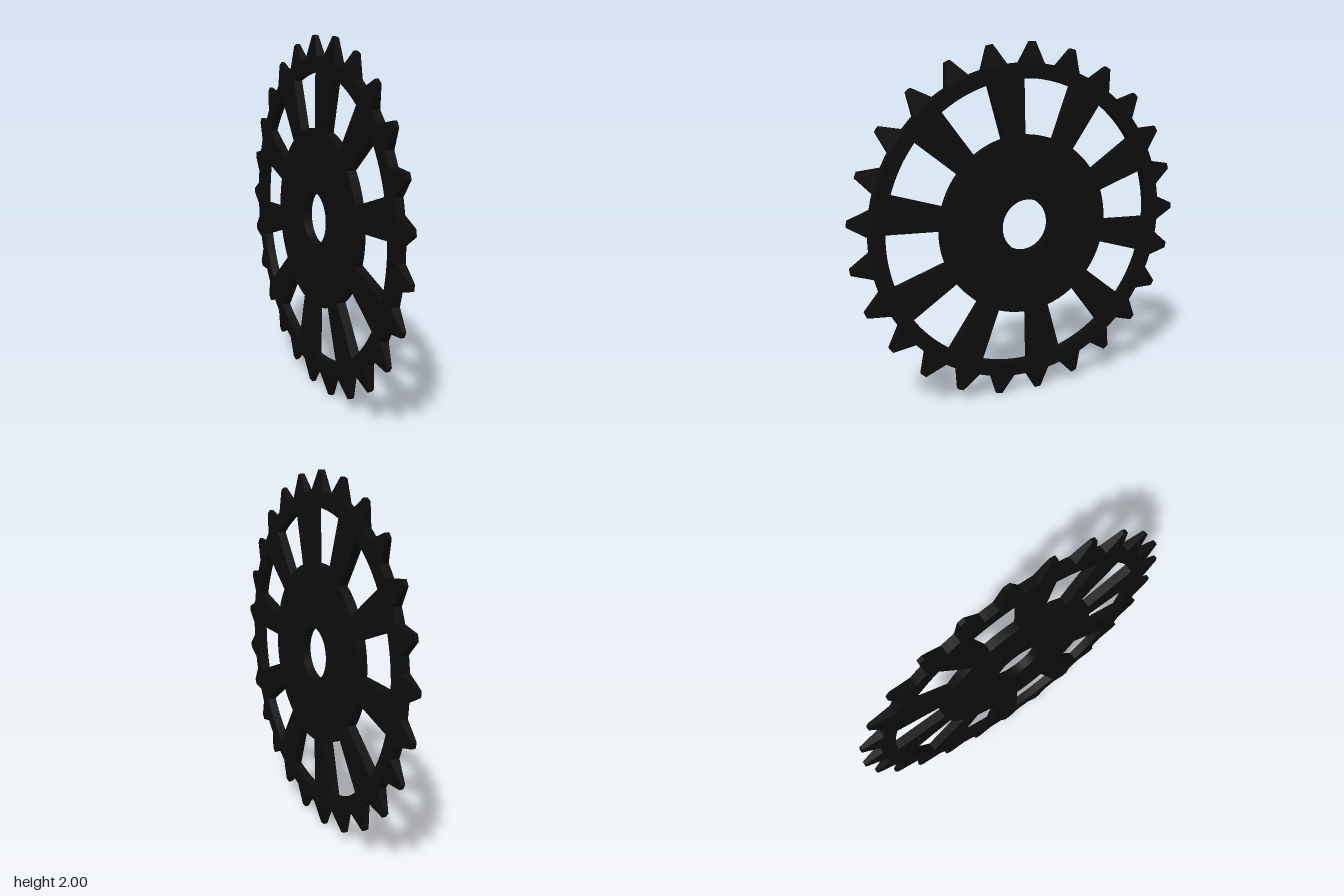
import * as THREE from 'three';

const T = 0.052;            // plate thickness
const ROOT = 0.888;         // rim radius at the tooth roots
const TIP = 1.0;            // tooth tip radius
const TEETH = 25, SLOTS = 10;
const rad = THREE.MathUtils.degToRad;

// Flat plate with a centre bore and radial windows between the spokes
function plateGeometry() {
  const shape = new THREE.Shape();
  shape.absarc(0, 0, ROOT, 0, Math.PI * 2, false);
  const bore = new THREE.Path();
  bore.absarc(0, 0, 0.148, 0, Math.PI * 2, true);
  shape.holes.push(bore);
  for (let i = 0; i < SLOTS; i++) {
    const mid = rad(80.3 + i * 360 / SLOTS), half = rad(10.7);
    const slot = new THREE.Path();
    slot.absarc(0, 0, 0.806, mid - half, mid + half, false);
    slot.absarc(0, 0, 0.503, mid + half, mid - half, true);
    slot.closePath();
    shape.holes.push(slot);
  }
  const geo = new THREE.ExtrudeGeometry(shape, { depth: T, bevelEnabled: false, curveSegments: 50 });
  return geo.translate(0, 0, -T / 2);
}

// Tooth pointing along +x, narrowing in width and thickness towards its tip
function toothGeometry() {
  const base = 0.884;
  const geo = new THREE.BoxGeometry(TIP - base, 0.142, T);
  geo.translate((TIP + base) / 2, 0, 0);
  const p = geo.attributes.position;
  for (let i = 0; i < p.count; i++) {
    if (p.getX(i) > 0.95) {
      p.setY(i, p.getY(i) * 0.24);
      p.setZ(i, p.getZ(i) * 0.42);
    }
  }
  geo.computeVertexNormals();
  return geo;
}

export function createModel() {
  const material = new THREE.MeshStandardMaterial({ color: 0x0d0d0d });
  const wheel = new THREE.Group();
  wheel.name = 'sprocket';

  const plate = new THREE.Mesh(plateGeometry(), material);
  plate.name = 'spokedPlate';
  wheel.add(plate);

  // Ring of teeth
  const teeth = new THREE.Group();
  teeth.name = 'teeth';
  const toothGeo = toothGeometry();
  for (let i = 0; i < TEETH; i++) {
    const tooth = new THREE.Mesh(toothGeo, material);
    tooth.name = 'tooth';
    tooth.rotation.z = rad(87.5 + i * 360 / TEETH);
    teeth.add(tooth);
  }
  wheel.add(teeth);

  // Stand the wheel on edge with its axle along x
  wheel.rotation.y = Math.PI / 2;
  wheel.position.y = 1;
  const model = new THREE.Group();
  model.name = 'sprocketWheel';
  model.add(wheel);
  return model;
}
